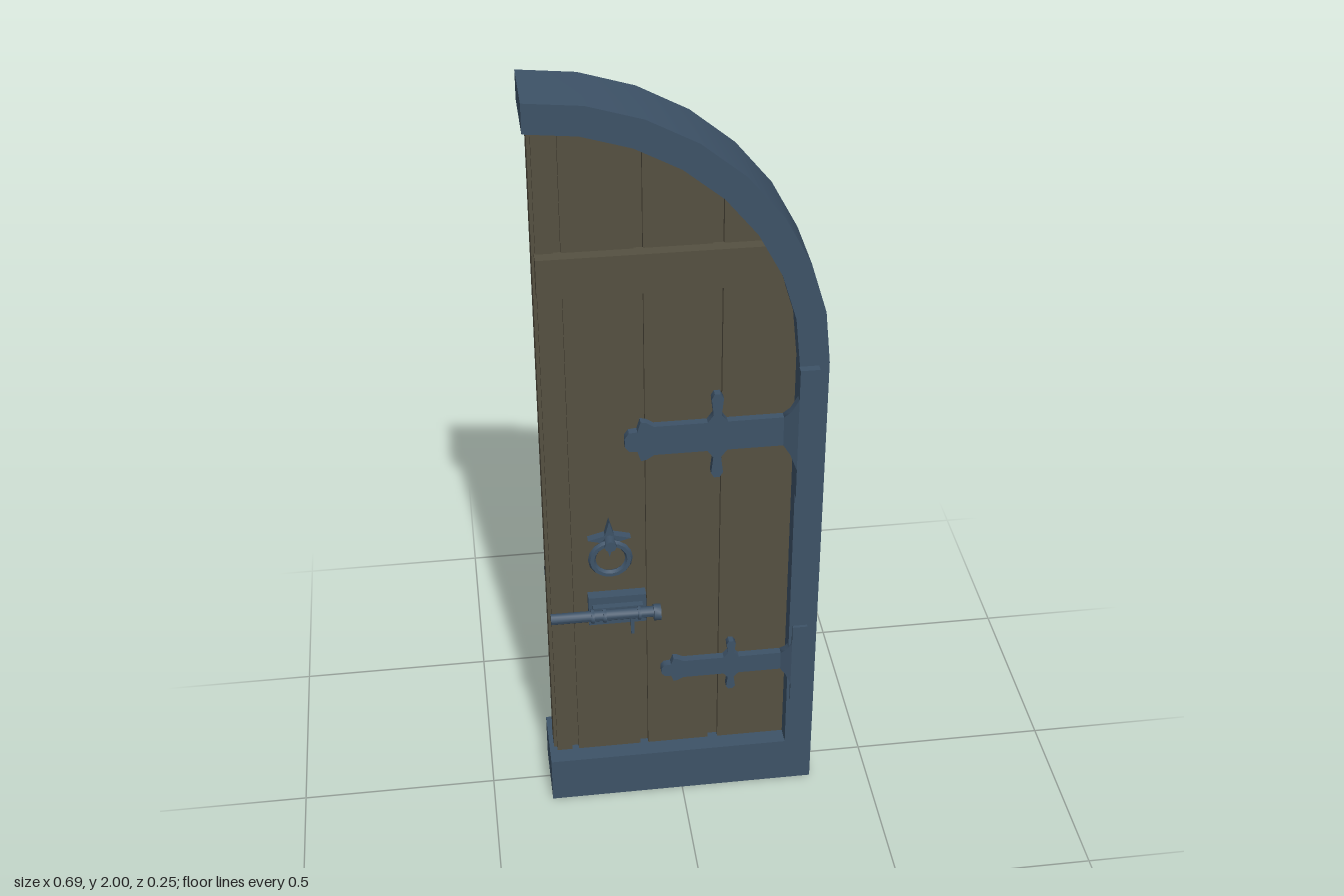
import * as THREE from 'three';
import { toCreasedNormals } from 'three/addons/utils/BufferGeometryUtils.js';

const iron = new THREE.MeshStandardMaterial({ color: 0x3d5267, side: THREE.DoubleSide });
iron.name = 'slate blue iron';
const wood = new THREE.MeshStandardMaterial({ color: 0x555041 });
wood.name = 'dark wood';

const LEFT = -0.347, SPRING = 1.307, STEPS = 8;

// Extrude an outline from z0 to z1
function slab(points, z0, z1) {
  const shape = new THREE.Shape(points.map(([x, y]) => new THREE.Vector2(x, y)));
  return new THREE.ExtrudeGeometry(shape, { depth: z1 - z0, bevelEnabled: false }).translate(0, 0, z0);
}

function box(x0, x1, y0, y1, z0, z1) {
  return new THREE.BoxGeometry(x1 - x0, y1 - y0, z1 - z0)
    .translate((x0 + x1) / 2, (y0 + y1) / 2, (z0 + z1) / 2);
}

// Quarter arch from the spring line up to the crown
function arch(radius) {
  const pts = [];
  for (let i = 0; i <= STEPS; i++) {
    const a = (i / STEPS) * Math.PI / 2;
    pts.push([LEFT + radius * Math.cos(a), SPRING + radius * Math.sin(a)]);
  }
  return pts;
}

// Copy of a geometry reflected to the back, with the corner order restored
function reflect(geometry) {
  const g = geometry.index ? geometry.toNonIndexed() : geometry.clone();
  g.scale(1, 1, -1);
  const p = g.attributes.position;
  const a = new THREE.Vector3(), b = new THREE.Vector3();
  for (let i = 0; i < p.count; i += 3) {
    a.fromBufferAttribute(p, i + 1);
    b.fromBufferAttribute(p, i + 2);
    p.setXYZ(i + 1, b.x, b.y, b.z);
    p.setXYZ(i + 2, a.x, a.y, a.z);
  }
  return g;
}

// Leave out the faces that lie on the ground
function withoutBase(geometry) {
  const p = geometry.attributes.position, kept = [];
  for (let i = 0; i < p.count; i += 3) {
    if (Math.max(p.getY(i), p.getY(i + 1), p.getY(i + 2)) < 1e-4) continue;
    for (let k = i; k < i + 3; k++) kept.push(p.getX(k), p.getY(k), p.getZ(k));
  }
  const g = new THREE.BufferGeometry();
  g.setAttribute('position', new THREE.Float32BufferAttribute(kept, 3));
  return g;
}

export function createModel() {
  const model = new THREE.Group();
  model.name = 'archedDoor';

  const add = (name, geometry, material) => {
    const m = new THREE.Mesh(toCreasedNormals(geometry, 0.8), material);
    m.name = name;
    model.add(m);
  };
  const addBothFaces = (name, geometry, material) => {
    add(name + 'Front', geometry, material);
    add(name + 'Back', reflect(geometry), material);
  };

  // Frame: hollow sill, jamb and quarter arch, open on one side and underneath
  add('frame', withoutBase(slab([
    [LEFT, 0], [0.346, 0], ...arch(0.693),
    ...arch(0.622).reverse(), [0.275, 0.13], [LEFT, 0.13],
  ], -0.09, 0.09)), iron);

  // Recessed backing board
  add('backing', slab([[-0.335, 0.13], [0.28, 0.13], ...arch(0.63).slice(0, -1),
    [-0.335, SPRING + 0.63]], -0.03, 0.03), wood);

  // Planks, cut at the top to follow the arch
  const planks = [[-0.327, -0.287], [-0.27, -0.106], [-0.085, 0.074], [0.1, 0.28]];
  for (const [x0, x1] of planks) {
    const pts = [[x0, 0.13], [x1, 0.13]];
    for (let i = 0; i <= 6; i++) {
      const x = x1 + (x0 - x1) * i / 6;
      pts.push([x, SPRING + Math.sqrt(0.63 ** 2 - (x - LEFT) ** 2)]);
    }
    add('plank', slab(pts, -0.045, 0.045), wood);
  }

  // Cross rail
  addBothFaces('crossRail', box(-0.33, 0.24, 1.515, 1.615, 0.04, 0.075), wood);

  // Strap hinges: flat strap, short ramp over the frame edge, jamb plate
  const strapHalf = [[-0.138, 0.012], [-0.128, 0.026], [-0.108, 0.028], [-0.1, 0.055], [-0.086, 0.052],
    [-0.068, 0.04], [0.06, 0.04], [0.074, 0.06], [0.069, 0.105], [0.076, 0.118], [0.09, 0.118],
    [0.098, 0.105], [0.093, 0.06], [0.108, 0.04], [0.243, 0.04]];
  const rampHalf = [[0.243, 0.04], [0.258, 0.06], [0.274, 0.1]];
  const plateHalf = [[0.274, 0.18], [0.321, 0.18]];
  const hinge = (name, cy, sx, sy, low, top) => {
    const thick = 0.02;
    const outline = half => {
      const upper = half.map(([x, y]) => [0.32 + (x - 0.32) * sx, cy + y * sy]);
      const lower = upper.map(([x, y]) => [x, 2 * cy - y]);
      return [...lower, ...upper.reverse()];
    };
    const rampStart = 0.32 - 0.077 * sx, rampEnd = 0.32 - 0.046 * sx;
    const ramp = slab(outline(rampHalf), low - thick, low);
    const p = ramp.attributes.position;
    for (let i = 0; i < p.count; i++) {
      const t = (p.getX(i) - rampStart) / (rampEnd - rampStart);
      p.setZ(i, p.getZ(i) + t * (top - low));
    }
    addBothFaces(name + 'Strap', slab(outline(strapHalf), low - thick, low), iron);
    addBothFaces(name + 'Ramp', ramp, iron);
    addBothFaces(name + 'Plate', slab(outline(plateHalf), top - thick, top), iron);
  };
  hinge('upperHinge', 1.12, 1, 1, 0.087, 0.11);
  hinge('lowerHinge', 0.403, 0.814, 0.667, 0.081, 0.098);

  // Ring pull on a pointed plate
  const star = [];
  for (let i = 0; i < 8; i++) {
    const a = i * Math.PI / 4, r = i % 2 ? 0.016 : 0.053;
    star.push([-0.178 + r * Math.cos(a), 0.825 + r * Math.sin(a)]);
  }
  addBothFaces('ringPlate', slab(star, 0.044, 0.066), iron);
  addBothFaces('ringPull', new THREE.TorusGeometry(0.046, 0.0095, 6, 16)
    .translate(-0.178, 0.778, 0.08), iron);
  addBothFaces('ringPeg', new THREE.CylinderGeometry(0.015, 0.015, 0.05, 8)
    .rotateX(Math.PI / 2).translate(-0.178, 0.823, 0.07), iron);

  // Sliding bolt with housing, collars, end cap and thumb lever
  const rod = (x0, x1, r, z) => new THREE.CylinderGeometry(r, r, x1 - x0, 12)
    .rotateZ(Math.PI / 2).translate((x0 + x1) / 2, 0.617, z);
  addBothFaces('boltHousing', box(-0.235, -0.09, 0.57, 0.655, 0.05, 0.077), iron);
  addBothFaces('boltCradle', box(-0.225, -0.1, 0.6, 0.634, 0.075, 0.093), iron);
  addBothFaces('boltRod', rod(-0.332, -0.06, 0.014, 0.1), iron);
  addBothFaces('boltCap', rod(-0.075, -0.057, 0.021, 0.104), iron);
  for (const x of [-0.228, -0.198, -0.111]) {
    addBothFaces('boltCollar', rod(x - 0.004, x + 0.004, 0.018, 0.1), iron);
  }
  addBothFaces('boltLever', box(-0.131, -0.123, 0.547, 0.612, 0.085, 0.095), iron);

  return model;
}
